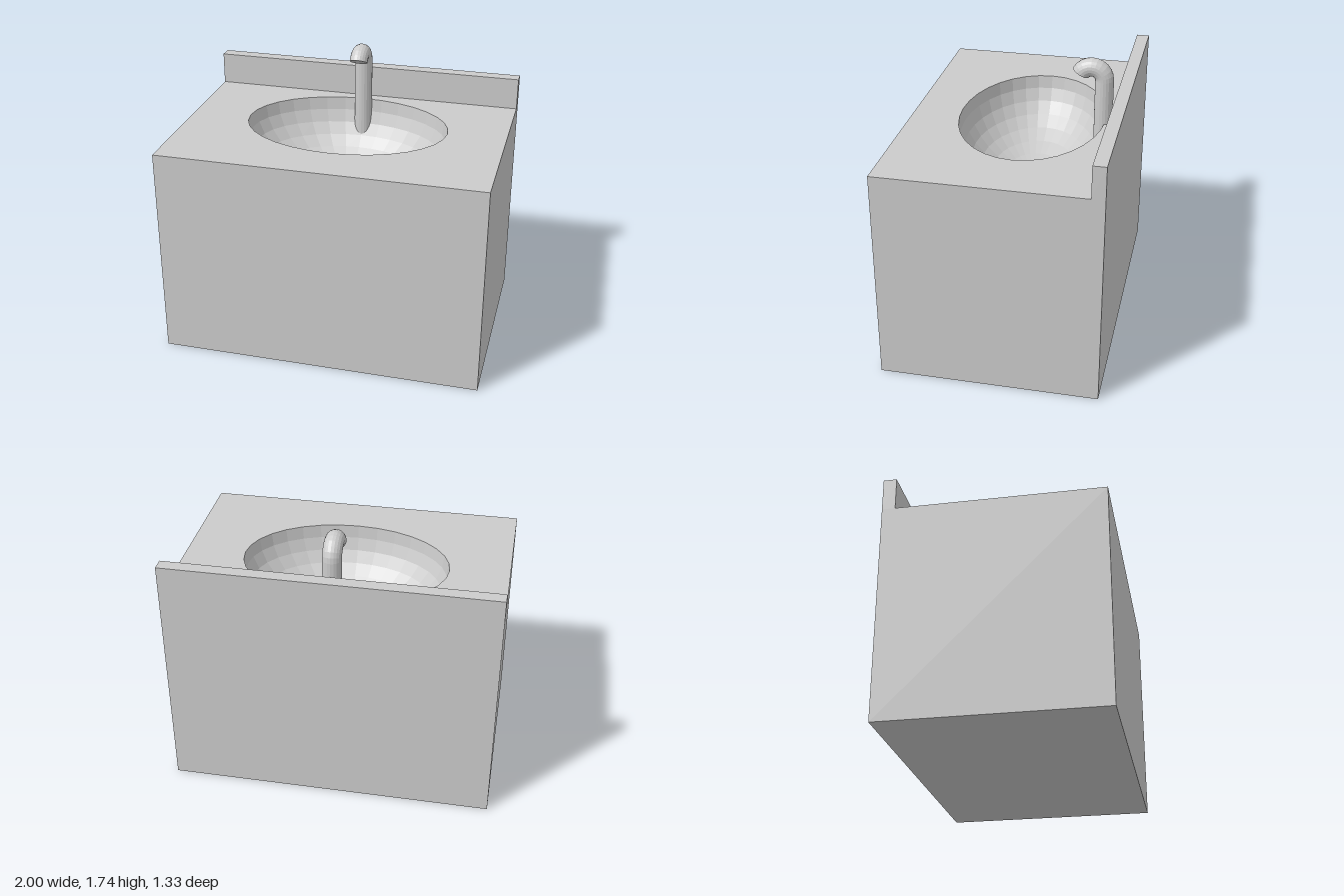
import * as THREE from 'three';

const W = 2, D = 1.334, H = 1.335;          // cabinet size
const SPLASH = { depth: 0.08, height: 0.2 };
const BOWL = { rx: 0.635, rz: 0.45, depth: 0.42, z: -0.07, sides: 32 };
const TAP = { r: 0.057, bend: 0.077, z: -0.505, bendY: 1.605, footY: 1.1, sides: 20 };

const material = new THREE.MeshStandardMaterial({ color: 0xcccccc, flatShading: true });
const sheet = new THREE.MeshStandardMaterial({ color: 0xcccccc, flatShading: true, side: THREE.DoubleSide });

function part(name, geometry, mat = material) {
  const mesh = new THREE.Mesh(geometry, mat);
  mesh.name = name;
  return mesh;
}

// Box without one of its faces (0..5 = +x, -x, +y, -y, +z, -z)
function openBox(w, h, d, face) {
  const g = new THREE.BoxGeometry(w, h, d);
  const index = Array.from(g.index.array);
  index.splice(face * 6, 6);
  g.setIndex(index);
  g.clearGroups();
  return g;
}

function createTap() {
  const tap = new THREE.Group();
  tap.name = 'tap';
  const { r, bend, z, bendY, footY, sides } = TAP;
  const arc = Math.PI * 5 / 6;

  // Upright pipe, its foot sunk into the bowl wall
  const pipe = part('tapPipe', new THREE.CylinderGeometry(r, r, bendY - footY, sides, 1, true));
  pipe.position.set(0, (bendY + footY) / 2, z);

  // Hooked spout curving forward and down
  const spout = part('tapSpout', new THREE.TorusGeometry(bend, r, sides, 10, arc).rotateY(Math.PI / 2));
  spout.position.set(0, bendY, z + bend);

  // Flat end of the spout
  const end = part('tapEnd', new THREE.CircleGeometry(r, sides).rotateX(Math.PI / 3));
  end.position.set(0, bendY + bend * Math.sin(arc), z + bend - bend * Math.cos(arc));

  tap.add(pipe, spout, end);
  return tap;
}

export function createModel() {
  const model = new THREE.Group();
  model.name = 'washstand';

  // Cabinet, open at the top under the counter
  const cabinet = part('cabinet', openBox(W, H, D, 2));
  cabinet.position.y = H / 2;

  // Raised splashback along the rear edge
  const splash = part('splashback', openBox(W, SPLASH.height, SPLASH.depth, 3));
  splash.position.set(0, H + SPLASH.height / 2, -D / 2 + SPLASH.depth / 2);

  // Counter with an oval opening (shape y becomes -z)
  const back = D / 2 - SPLASH.depth;
  const outline = new THREE.Shape([
    new THREE.Vector2(-W / 2, -D / 2), new THREE.Vector2(W / 2, -D / 2),
    new THREE.Vector2(W / 2, back), new THREE.Vector2(-W / 2, back),
  ]);
  const rim = [];
  for (let i = 0; i < BOWL.sides; i++) {
    const a = -i / BOWL.sides * Math.PI * 2;
    rim.push(new THREE.Vector2(BOWL.rx * Math.cos(a), BOWL.rz * Math.sin(a) - BOWL.z));
  }
  outline.holes.push(new THREE.Path(rim));
  const counter = part('counter', new THREE.ShapeGeometry(outline).rotateX(-Math.PI / 2));
  counter.position.y = H;

  // Bowl: lower half of an ellipsoid
  const bowl = part('bowl',
    new THREE.SphereGeometry(1, BOWL.sides, 8, 0, Math.PI * 2, Math.PI / 2, Math.PI / 2)
      .scale(BOWL.rx, BOWL.depth, BOWL.rz), sheet);
  bowl.position.set(0, H, BOWL.z);

  model.add(cabinet, splash, counter, bowl, createTap());
  return model;
}
